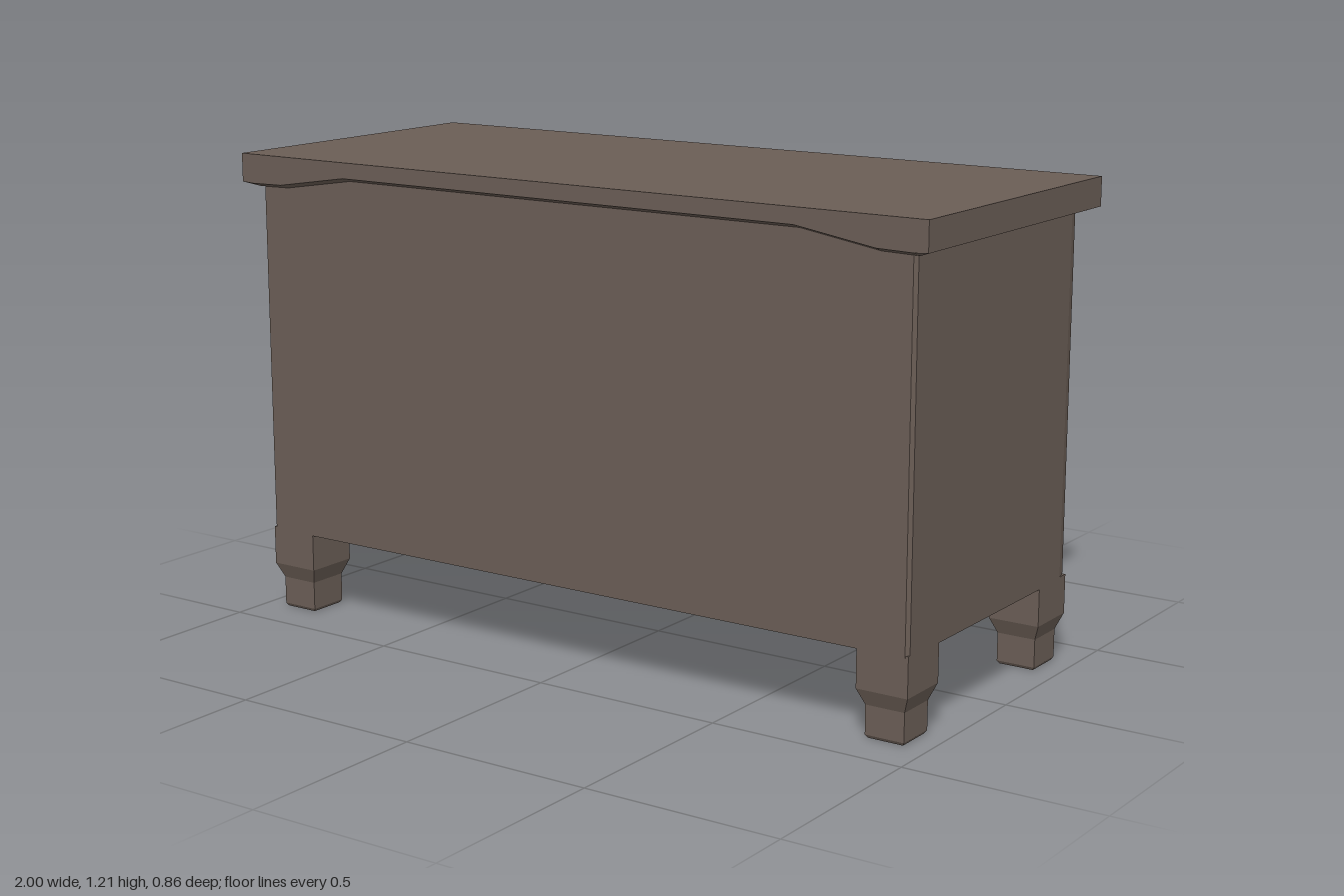
import * as THREE from 'three';

const wood = new THREE.MeshStandardMaterial({ color: 0x6a5d55, flatShading: true });

function add(group, name, geometry, x = 0, y = 0, z = 0) {
  const mesh = new THREE.Mesh(geometry, wood);
  mesh.name = name;
  mesh.position.set(x, y, z);
  group.add(mesh);
  return mesh;
}

// Box given by its limits on each axis
function block(group, name, [x0, x1], [y0, y1], [z0, z1]) {
  return add(group, name, new THREE.BoxGeometry(x1 - x0, y1 - y0, z1 - z0),
    (x0 + x1) / 2, (y0 + y1) / 2, (z0 + z1) / 2);
}

const shapeOf = pts => new THREE.Shape(pts.map(p => new THREE.Vector2(...p)));

// Moves every vertex of a geometry by a rule
function reshape(geometry, rule) {
  const p = geometry.attributes.position;
  const v = new THREE.Vector3();
  for (let i = 0; i < p.count; i++) {
    rule(v.fromBufferAttribute(p, i));
    p.setXYZ(i, v.x, v.y, v.z);
  }
  geometry.computeVertexNormals();
  return geometry;
}

// Stack of rectangles [y, halfX, halfZ] from bottom to top
function rectLoft(sections) {
  const pos = [], idx = [];
  for (const [y, a, b] of sections) pos.push(-a, y, b, a, y, b, a, y, -b, -a, y, -b);
  for (let s = 0; s < sections.length - 1; s++) {
    for (let k = 0; k < 4; k++) {
      const p = s * 4 + k, q = s * 4 + (k + 1) % 4;
      idx.push(p, q, q + 4, p, q + 4, p + 4);
    }
  }
  const t = (sections.length - 1) * 4;
  idx.push(0, 2, 1, 0, 3, 2, t, t + 1, t + 2, t, t + 2, t + 3);
  const g = new THREE.BufferGeometry();
  g.setAttribute('position', new THREE.Float32BufferAttribute(pos, 3));
  g.setIndex(idx);
  const flat = g.toNonIndexed();
  flat.computeVertexNormals();
  return flat;
}

export function createModel() {
  const group = new THREE.Group();
  group.name = 'cabinet';
  const W = 0.957, floorY = 0.215, topY = 1.18;
  const panelZ = -0.355, backZ = -0.387, frontZ = 0.402, c = 0.008;

  // Carcass, with softened front corners
  const carcass = reshape(
    new THREE.BoxGeometry(2 * W, topY - floorY, frontZ - panelZ, 1, 1, 8).toNonIndexed(),
    v => { if (v.z > 0.37) v.x -= Math.sign(v.x) * c; else if (v.z > 0.27) v.z = 0.37; });
  add(group, 'carcass', carcass, 0, (floorY + topY) / 2, (frontZ + panelZ) / 2);

  // Face frame with an opening that has clipped upper corners
  const frame = shapeOf([[-W, floorY], [W, floorY], [W, topY], [-W, topY]]);
  frame.holes.push(new THREE.Path([
    [-0.82, 0.33], [-0.82, 0.985], [-0.64, 1.06], [0.64, 1.06], [0.82, 0.985], [0.82, 0.33],
  ].map(p => new THREE.Vector2(...p))));
  const frameGeo = new THREE.ExtrudeGeometry(frame, { depth: panelZ - backZ, bevelEnabled: false });
  reshape(frameGeo, v => { if (v.z < 0.001 && Math.abs(v.x) > 0.9) v.x -= Math.sign(v.x) * c; });
  add(group, 'doorFrame', frameGeo, 0, 0, backZ);

  // Door stiles either side of the seam, and the cross rails
  const seam = -0.011;
  for (const side of [-1, 1]) {
    const inner = seam + side * 0.003, outer = seam + side * 0.078;
    const stile = [Math.min(inner, outer), Math.max(inner, outer)];
    const rail = side > 0 ? [outer, 0.82] : [-0.82, outer];
    block(group, 'doorStile', stile, [0.33, 1.06], [-0.374, panelZ]);
    block(group, 'doorRail', rail, [0.62, 0.74], [-0.369, panelZ]);
  }

  // Flared door handles; profile is (depth, height)
  const grip = shapeOf([
    [-0.36, 0.615], [-0.405, 0.615], [-0.422, 0.602], [-0.43, 0.602],
    [-0.43, 0.748], [-0.422, 0.748], [-0.405, 0.735], [-0.36, 0.735],
  ]);
  for (const x of [-0.053, 0.027]) {
    const g = new THREE.ExtrudeGeometry(grip, { depth: 0.052, bevelEnabled: false });
    g.translate(0, 0, -0.026).rotateY(-Math.PI / 2); // profile x becomes depth z
    add(group, 'doorHandle', g, x);
  }

  // Top slab: lower edge arched along front and back, bevelled at the rim
  const slab = shapeOf([
    [-1, 1.21], [-1, 1.137], [-0.965, 1.125], [-0.87, 1.127], [-0.66, 1.16],
    [0.66, 1.16], [0.87, 1.127], [0.965, 1.125], [1, 1.137], [1, 1.21],
  ]);
  const layers = [-0.42, -0.387, 0.402, 0.43];
  const slabGeo = new THREE.ExtrudeGeometry(slab, { depth: 1, steps: 3, bevelEnabled: false });
  reshape(slabGeo, v => {
    const i = Math.round(v.z * 3);
    if ((i === 0 || i === 3) && v.y < 1.2 && Math.abs(v.x) < 0.99) v.y += 0.01;
    v.z = layers[i];
  });
  add(group, 'topSlab', slabGeo);

  // Legs stepping in to smaller feet
  const legGeo = rectLoft([
    [0, 0.046, 0.049], [0.008, 0.051, 0.054], [0.08, 0.051, 0.054],
    [0.12, 0.067, 0.071], [0.2, 0.067, 0.071], [0.22, 0.067, 0.071],
  ]);
  for (const x of [-0.89, 0.89]) {
    add(group, 'frontLeg', legGeo, x, 0, 0.33);
    add(group, 'backLeg', legGeo, x, 0, -0.317);
  }
  return group;
}
